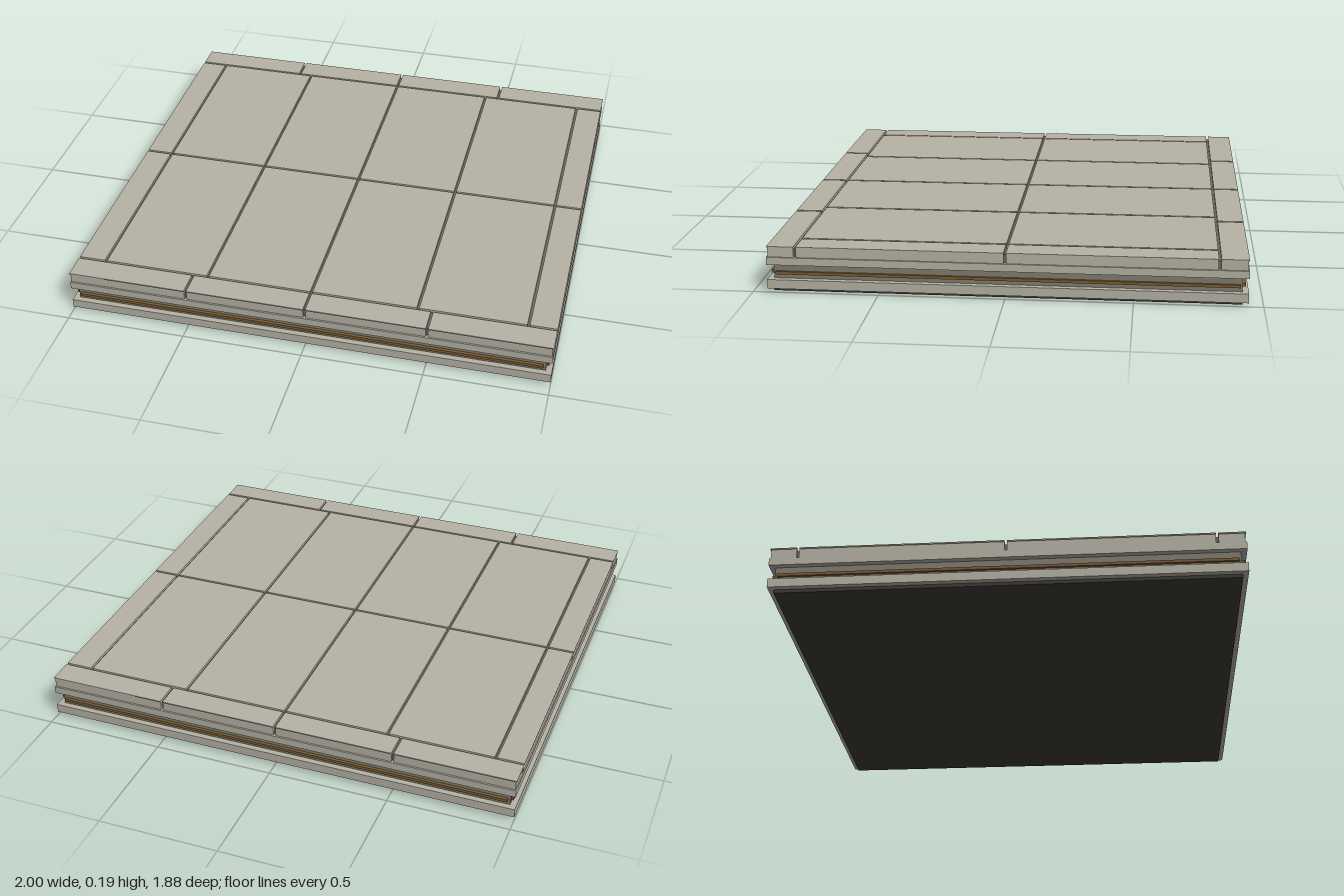
import * as THREE from 'three';

const paint = (color) => new THREE.MeshStandardMaterial({ color });

export function createModel() {
  const model = new THREE.Group();
  const stone = paint(0xb7b3a6), shade = paint(0x827e72), dark = paint(0x3d3b35);
  const joint = paint(0x6b675e), bronze = paint(0x7d5c33);

  // Box given by its minimum and maximum on each axis
  const block = (name, mat, x0, x1, y0, y1, z0, z1, parent = model) => {
    const mesh = new THREE.Mesh(new THREE.BoxGeometry(x1 - x0, y1 - y0, z1 - z0), mat);
    mesh.position.set((x0 + x1) / 2, (y0 + y1) / 2, (z0 + z1) / 2);
    mesh.name = name;
    parent.add(mesh);
  };
  const centred = (name, mat, x, y0, y1, z) => block(name, mat, -x, x, y0, y1, -z, z);

  // Base, recessed body and the bed under the paving
  centred('base', dark, 0.975, 0, 0.015, 0.92);
  centred('recessedBody', shade, 0.975, 0.015, 0.145, 0.918);
  centred('jointBed', joint, 0.985, 0.145, 0.178, 0.925);

  // Two projecting courses, with short sides fitted between the long ones
  for (const [name, y0, y1] of [['lowerCourse', 0.015, 0.052], ['upperCourse', 0.113, 0.144]]) {
    const course = new THREE.Group();
    course.name = name;
    for (const s of [-1, 1]) {
      const z = s * 0.93, x = s * 0.985;
      block(name + 'Long', stone, -1, 1, y0, y1, z - 0.012, z + 0.012, course);
      block(name + 'Side', stone, x - 0.015, x + 0.015, y0, y1, -0.918, 0.918, course);
    }
    model.add(course);
  }

  // Thin inlay in the recess on all four sides
  for (const s of [-1, 1]) {
    const z = s * 0.923, x = s * 0.978;
    block('inlayLong', bronze, -0.965, 0.965, 0.07, 0.082, z - 0.008, z + 0.008);
    block('inlaySide', bronze, x - 0.008, x + 0.008, 0.07, 0.082, -0.91, 0.91);
  }

  // Paving slab with narrow gaps all round and a thin cap
  const gap = 0.005;
  const slab = (name, x0, x1, z0, z1) => {
    const trim = (v, d, edge) => (Math.abs(v) === edge ? v : v + d);
    const a = trim(x0, gap, 1), b = trim(x1, -gap, 1);
    const c = trim(z0, gap, 0.94), d = trim(z1, -gap, 0.94);
    // The body stands back slightly below the cap on outer edges
    const inset = (v, edge) => (Math.abs(v) === edge ? v - Math.sign(v) * 0.004 : v);
    block(name, stone, inset(a, 1), inset(b, 1), 0.145, 0.184, inset(c, 0.94), inset(d, 0.94));
    block(name + 'Cap', stone, a, b, 0.184, 0.189, c, d);
  };
  const fieldX = [-0.885, -0.44, 0, 0.44, 0.885];
  const borderX = [-1, -0.5, 0, 0.5, 1];
  for (let i = 0; i < 4; i++) {
    slab('backBorderSlab', borderX[i], borderX[i + 1], -0.94, -0.828);
    slab('frontBorderSlab', borderX[i], borderX[i + 1], 0.828, 0.94);
    slab('fieldSlab', fieldX[i], fieldX[i + 1], -0.828, 0);
    slab('fieldSlab', fieldX[i], fieldX[i + 1], 0, 0.828);
  }
  for (const [z0, z1] of [[-0.828, 0], [0, 0.828]]) {
    slab('rightBorderSlab', -1, -0.885, z0, z1);
    slab('leftBorderSlab', 0.885, 1, z0, z1);
  }
  return model;
}
